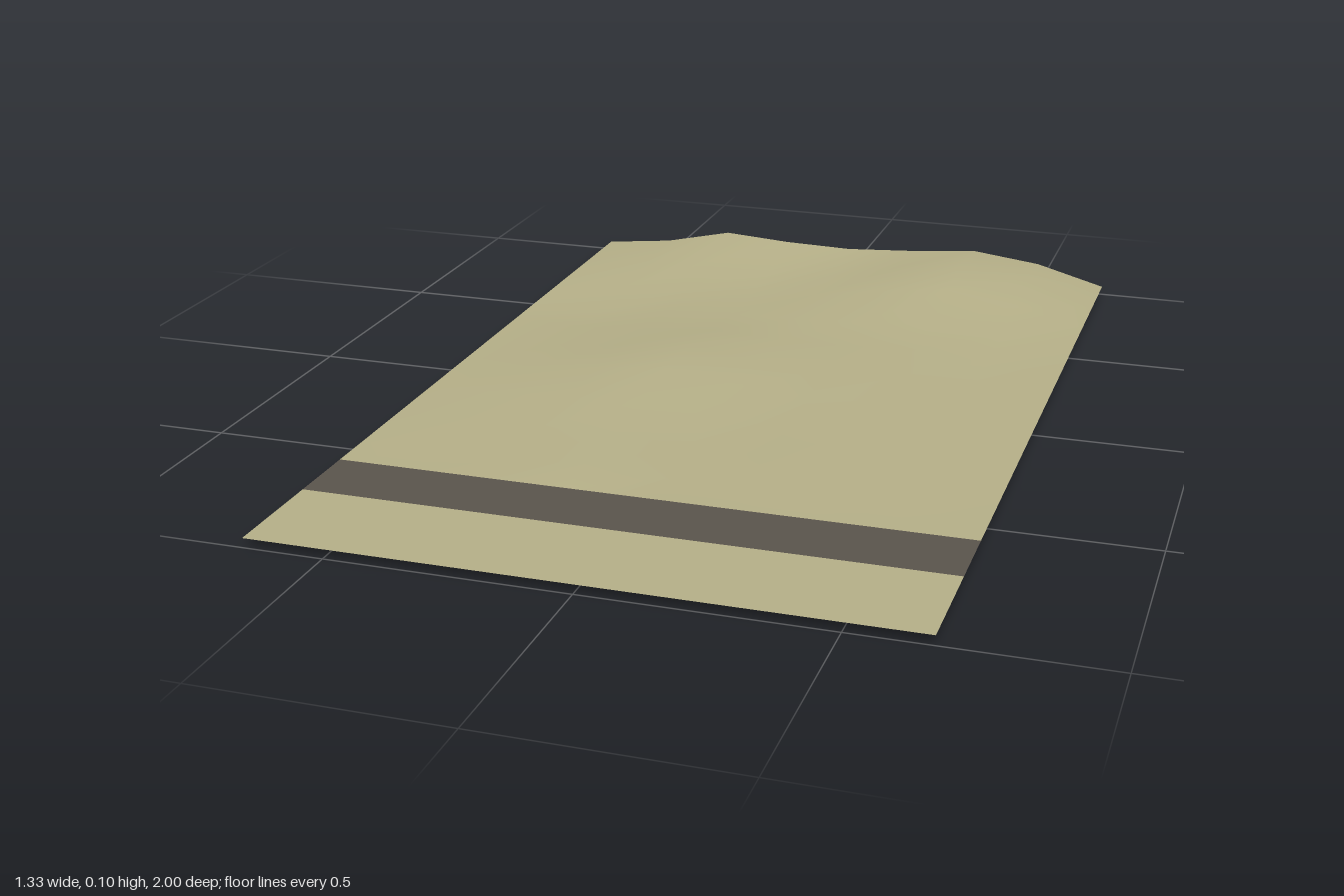
import * as THREE from 'three';

const HALF_WIDTH = 2 / 3, STEP = 1 / 6, LEVEL = 0.02;

// Inner heights in hundredths, one row per z step from the back edge forward
const HILLS = [
  [3.8, 7.5, 6.4, 6, 7, 8.5, 6.5],
  [3, 4.5, 3.5, 4, 7.5, 10, 7.5],
  [1.5, 2.5, 2.5, 4, 6.5, 8.5, 6],
  [0, 2, 2.5, 3, 4, 5, 4],
  [1.5, 2.5, 4, 3.5, 3.5, 4.5, 3],
  [2.5, 4.2, 6, 4, 3.5, 4, 3],
  [3, 4.5, 6.2, 4, 3, 3.5, 2.8],
  [2.8, 3.5, 4.5, 2.5, 2.5, 3, 2.5],
  [2.5, 3, 3.5, 2.2, 2.5, 3, 2.5],
  [2, 2, 3.3, 2, 2, 2, 2],
];

export function createModel() {
  const model = new THREE.Group();
  const earth = new THREE.MeshStandardMaterial({ color: 0xb3ad86, side: THREE.DoubleSide });
  earth.name = 'dry earth';
  const asphalt = new THREE.MeshStandardMaterial({ color: 0x59534b, side: THREE.DoubleSide });
  asphalt.name = 'asphalt';

  const add = (name, geometry, material) => {
    const mesh = new THREE.Mesh(geometry, material);
    mesh.name = name;
    model.add(mesh);
  };

  // Level strip across the full width between two z positions
  const strip = (z0, z1) => new THREE.PlaneGeometry(2 * HALF_WIDTH, z1 - z0)
    .rotateX(-Math.PI / 2).translate(0, LEVEL, (z0 + z1) / 2);

  // Rolling ground: a grid whose side edges and front edge stay level
  const rows = HILLS.length;
  const hills = new THREE.PlaneGeometry(2 * HALF_WIDTH, 1, 8, rows).rotateX(-Math.PI / 2);
  const p = hills.attributes.position;
  for (let r = 0; r <= rows; r++) {
    for (let c = 0; c <= 8; c++) {
      const inner = r < rows && c > 0 && c < 8;
      const y = inner ? HILLS[r][c - 1] / 100 : LEVEL;
      const z = r < rows ? -1 + r * STEP : 0.6;
      p.setXYZ(r * 9 + c, -HALF_WIDTH + c * STEP, y, z);
    }
  }
  hills.computeVertexNormals();
  add('rollingGround', hills, earth);

  // Road and the level verge in front of it
  add('road', strip(0.6, 0.76), asphalt);
  add('frontVerge', strip(0.76, 1), earth);

  return model;
}
